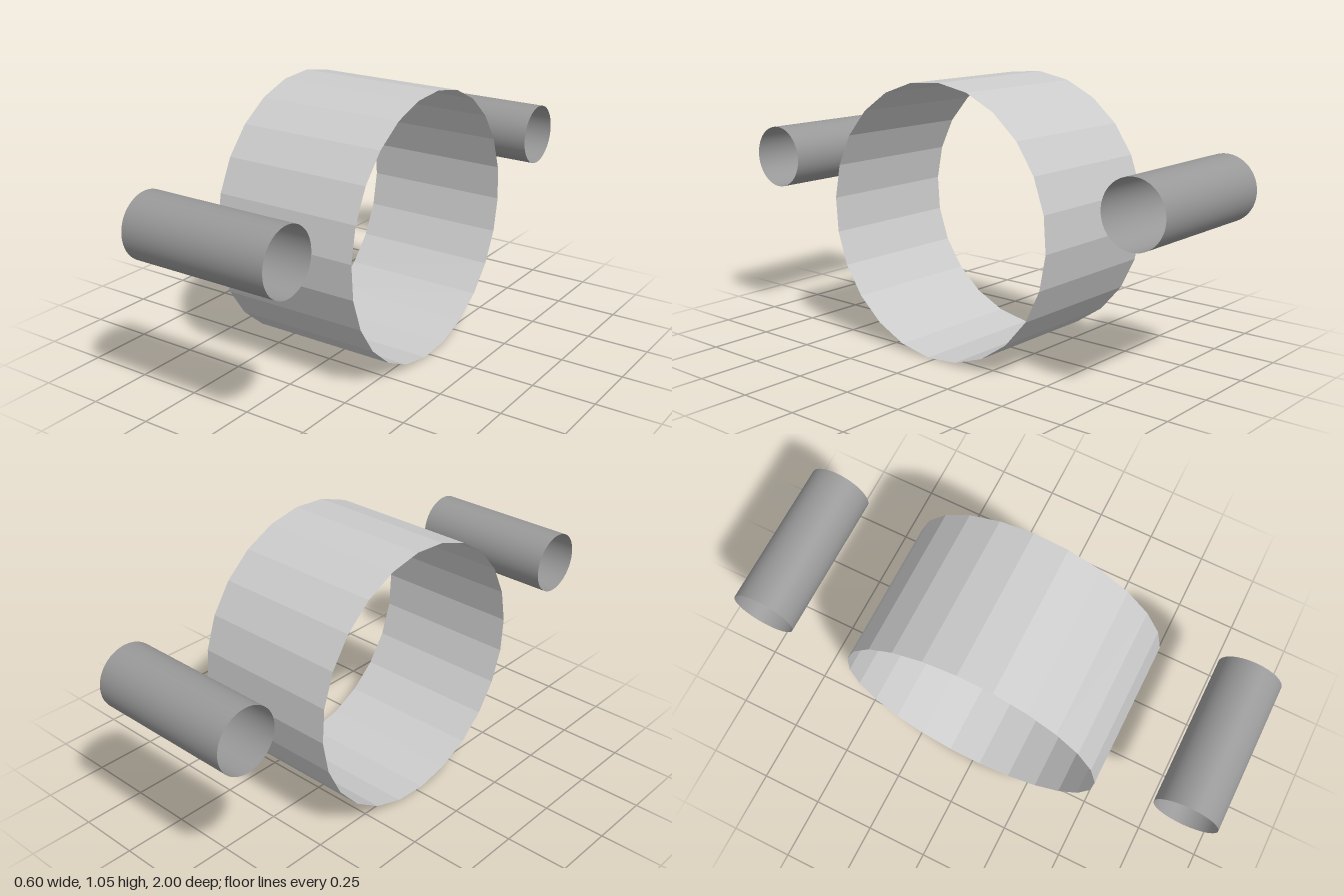
import * as THREE from 'three';

const WIDTH = 0.6;

// Open, paper-thin tube lying along x, starting at an angle measured from +z towards +y
function openTube(name, radius, sides, startDeg, flatShading, color) {
  const geometry = new THREE.CylinderGeometry(
    radius, radius, WIDTH, sides, 1, true, THREE.MathUtils.degToRad(startDeg), Math.PI * 2);
  geometry.rotateZ(Math.PI / 2);
  const material = new THREE.MeshStandardMaterial({ color, flatShading, side: THREE.DoubleSide });
  const mesh = new THREE.Mesh(geometry, material);
  mesh.name = name;
  return mesh;
}

export function createModel() {
  const model = new THREE.Group();
  model.name = 'ringWithSideTubes';

  // Large faceted ring in the middle
  const ring = openTube('centralRing', 0.5275, 24, 3.4, true, 0xcccccc);
  ring.position.y = 0.5265;
  model.add(ring);

  // Small smooth tubes in front and behind
  for (const [name, side] of [['frontTube', 1], ['backTube', -1]]) {
    const tube = openTube(name, 0.125, 64, 0, false, 0x999999);
    tube.position.set(0, 0.686, side * 0.875);
    model.add(tube);
  }
  return model;
}
